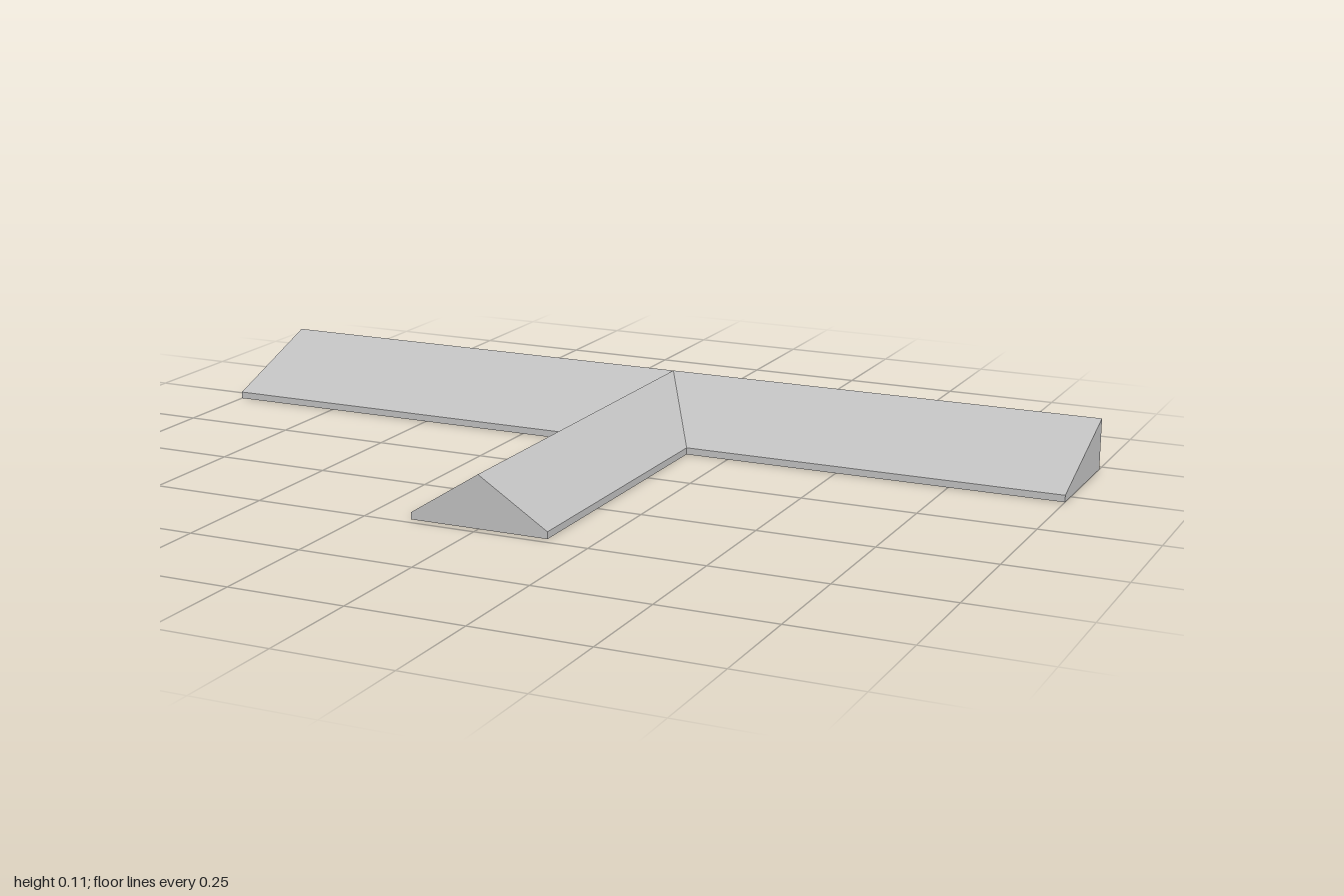
import * as THREE from 'three';

// Main dimensions of the hollow T-shaped roof
const RIDGE = 0.113, EAVE = 0.015;
const BACK = -0.48, MID = -0.206, FRONT = 0.48;
const END = 1, HALF = 0.153;

export function createModel() {
  const model = new THREE.Group();
  model.name = 'roof';

  const grey = new THREE.MeshStandardMaterial({ color: 0xc0c0c0 });
  grey.name = 'grey';
  grey.side = THREE.DoubleSide; // thin open shell

  // Flat convex panel from its corners, counter-clockwise seen from outside
  function panel(name, corners) {
    const points = [];
    for (let i = 1; i < corners.length - 1; i++) {
      points.push(...corners[0], ...corners[i], ...corners[i + 1]);
    }
    const geometry = new THREE.BufferGeometry();
    geometry.setAttribute('position', new THREE.Float32BufferAttribute(points, 3));
    geometry.computeVertexNormals();
    const mesh = new THREE.Mesh(geometry, grey);
    mesh.name = name;
    model.add(mesh);
  }

  // Panel repeated on both sides of x = 0
  function mirrored(name, corners) {
    panel(name + 'Left', corners);
    panel(name + 'Right', corners.map(([x, y, z]) => [-x, y, z]).reverse());
  }

  // Long lean-to wing, cut along the valleys; its back stays open
  mirrored('wingSlope', [[0, RIDGE, BACK], [HALF, EAVE, MID], [END, EAVE, MID], [END, RIDGE, BACK]]);
  mirrored('wingFascia', [[HALF, 0, MID], [END, 0, MID], [END, EAVE, MID], [HALF, EAVE, MID]]);
  mirrored('wingEnd', [[END, 0, MID], [END, 0, BACK], [END, RIDGE, BACK], [END, EAVE, MID]]);

  // Gabled stem running forward, with a pointed back between the valleys
  mirrored('stemSlope', [[0, RIDGE, BACK], [0, RIDGE, FRONT], [HALF, EAVE, FRONT], [HALF, EAVE, MID]]);
  mirrored('stemFascia', [[HALF, 0, FRONT], [HALF, 0, MID], [HALF, EAVE, MID], [HALF, EAVE, FRONT]]);
  panel('frontGable', [[-HALF, 0, FRONT], [HALF, 0, FRONT], [HALF, EAVE, FRONT], [0, RIDGE, FRONT], [-HALF, EAVE, FRONT]]);

  // Flat underside
  panel('wingFloor', [[-END, 0, BACK], [END, 0, BACK], [END, 0, MID], [-END, 0, MID]]);
  panel('stemFloor', [[-HALF, 0, MID], [HALF, 0, MID], [HALF, 0, FRONT], [-HALF, 0, FRONT]]);

  return model;
}
